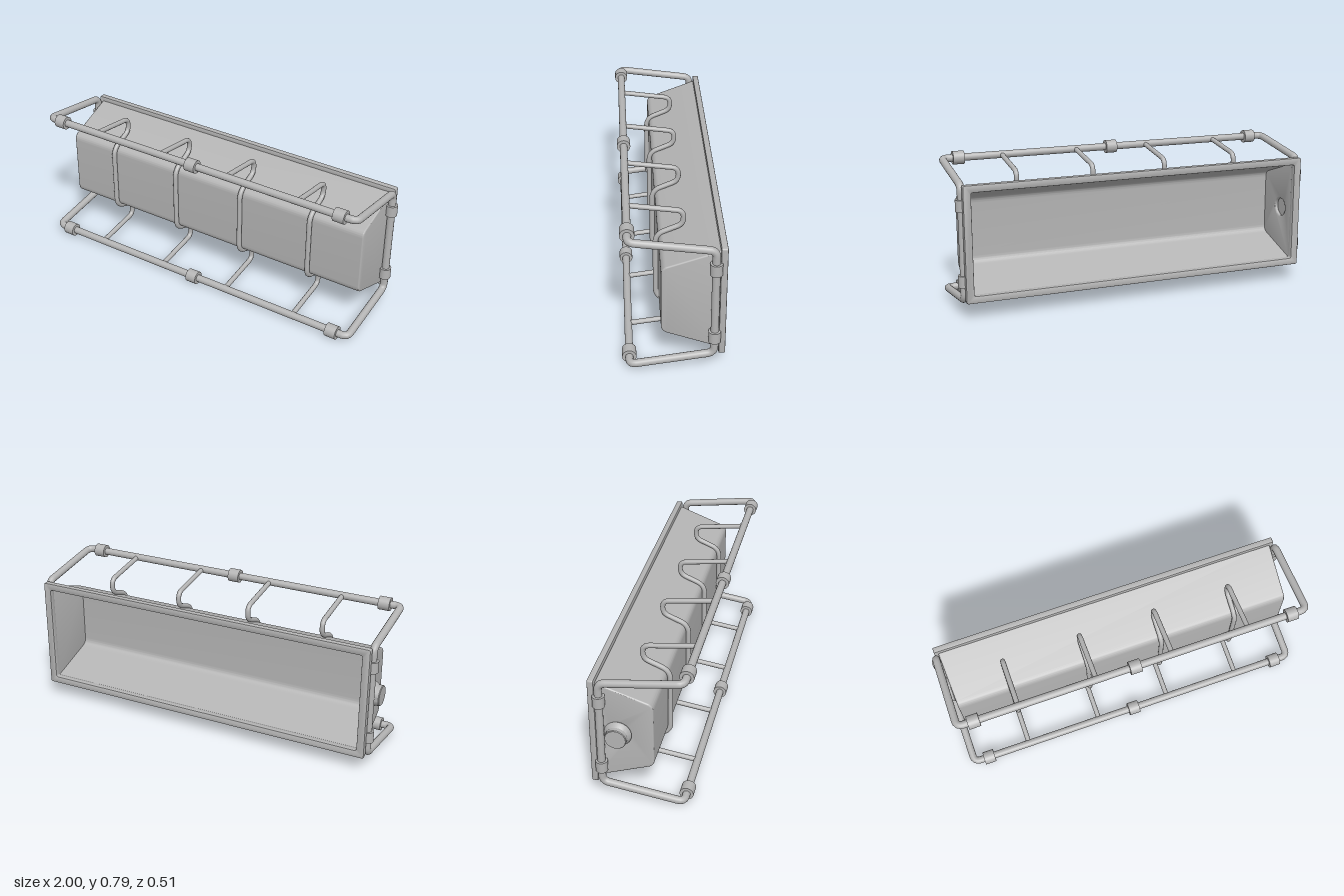
import * as THREE from 'three';
import { toCreasedNormals } from 'three/addons/utils/BufferGeometryUtils.js';

const MID = 0.397; // height of the horizontal symmetry plane
const TUBE = 0.02, BAR_Y = 0.361, BAR_Z = 0.22, POST_X = 0.965, POST_Z = -0.2;

// Polyline with rounded corners; cuts[i] is the length trimmed at each corner
function roundedPath(pts, cuts, closed) {
  const path = new THREE.CurvePath();
  path.arcLengthDivisions = 800;
  const n = pts.length;
  const toward = (a, b, d) => a.clone().add(b.clone().sub(a).setLength(d));
  let prev = closed ? toward(pts[0], pts[1], cuts[0]) : pts[0];
  const start = prev;
  for (let k = 1; k < (closed ? n + 1 : n - 1); k++) {
    const i = k % n, p = pts[i];
    const a = toward(p, pts[(i + n - 1) % n], cuts[i]);
    const b = k === n ? start : toward(p, pts[(i + 1) % n], cuts[i]);
    path.add(new THREE.LineCurve3(prev, a));
    path.add(new THREE.QuadraticBezierCurve3(a, p, b));
    prev = b;
  }
  if (!closed) path.add(new THREE.LineCurve3(prev, pts[n - 1]));
  return path;
}

// Tub cross-section in (z, y), open at the back, rounded at the front corners
function traceTub(shape, inset, reverse) {
  const back = -0.23, front = 0.062 - inset;
  const yb = 0.288 - inset, yf = 0.186 - inset * 0.75;
  const s = reverse ? -1 : 1;
  const zc = front - 0.03, yc = yf + 0.0105;
  shape[reverse ? 'lineTo' : 'moveTo'](back, -yb * s);
  shape.lineTo(zc, -yc * s);
  shape.quadraticCurveTo(front, -yf * s, front, -(yf - 0.032) * s);
  shape.lineTo(front, (yf - 0.032) * s);
  shape.quadraticCurveTo(front, yf * s, zc, yc * s);
  shape.lineTo(back, yb * s);
}

// Extrude a (z, y) outline along x, centred, with the ends tapering to the front
function extrudeAlongX(shape, length, x, bevel) {
  const geo = new THREE.ExtrudeGeometry(shape, {
    depth: length - 2 * bevel, curveSegments: 10, bevelEnabled: bevel > 0,
    bevelThickness: bevel, bevelSize: bevel, bevelOffset: -bevel, bevelSegments: 3,
  });
  geo.translate(0, 0, bevel - length / 2).rotateY(-Math.PI / 2).translate(x, 0, 0);
  const p = geo.attributes.position;
  for (let i = 0; i < p.count; i++) p.setX(i, p.getX(i) * (1 - 0.04 * (p.getZ(i) + 0.23)));
  return toCreasedNormals(geo, 0.6);
}

function roundedRect(target, hw, hh, r) {
  target.moveTo(-hw + r, -hh);
  target.lineTo(hw - r, -hh).quadraticCurveTo(hw, -hh, hw, -hh + r);
  target.lineTo(hw, hh - r).quadraticCurveTo(hw, hh, hw - r, hh);
  target.lineTo(-hw + r, hh).quadraticCurveTo(-hw, hh, -hw, hh - r);
  target.lineTo(-hw, -hh + r).quadraticCurveTo(-hw, -hh, -hw + r, -hh);
  return target;
}

export function createModel() {
  const model = new THREE.Group();
  model.name = 'framedTub';
  const body = new THREE.Group();
  body.name = 'body';
  body.position.y = MID;
  model.add(body);

  const grey = new THREE.MeshStandardMaterial({ color: 0xb4b4b4 });
  grey.name = 'grey';
  const add = (name, geo) => {
    const mesh = new THREE.Mesh(geo, grey);
    mesh.name = name;
    body.add(mesh);
    return mesh;
  };

  // Tub: thin bent shell plus two end plates
  const shell = new THREE.Shape();
  traceTub(shell, 0, false);
  traceTub(shell, 0.012, true);
  shell.closePath();
  add('tubShell', extrudeAlongX(shell, 1.878, 0, 0));
  for (const side of [-1, 1]) {
    const plate = new THREE.Shape();
    traceTub(plate, 0, false);
    plate.closePath();
    if (side < 0) { // opening behind the round fitting
      const hole = new THREE.Path();
      hole.absarc(-0.115, 0, 0.05, 0, Math.PI * 2, true);
      plate.holes.push(hole);
    }
    add(side < 0 ? 'rightEndPlate' : 'leftEndPlate', extrudeAlongX(plate, 0.02, side * 0.937, 0.008));
  }

  // Rim around the open back
  const rim = roundedRect(new THREE.Shape(), 0.967, 0.311, 0.012);
  rim.holes.push(roundedRect(new THREE.Path(), 0.925, 0.272, 0.012));
  const rimGeo = new THREE.ExtrudeGeometry(rim, {
    depth: 0.023, bevelThickness: 0.005, bevelSize: 0.005, bevelOffset: -0.005,
    bevelSegments: 2, curveSegments: 5,
  });
  rimGeo.translate(0, 0, -0.25);
  add('backRim', toCreasedNormals(rimGeo, 0.5));

  // Round fitting on the right end
  const profile = [[0, -0.004], [0.066, -0.004], [0.07, 0.004], [0.066, 0.014], [0.055, 0.03],
    [0.055, 0.052], [0.052, 0.056], [0, 0.056]].map(([r, h]) => new THREE.Vector2(r, h));
  const knob = new THREE.LatheGeometry(profile, 40).toNonIndexed();
  knob.rotateZ(Math.PI / 2).translate(-0.944, 0, -0.115);
  add('endFitting', toCreasedNormals(knob, 0.6));

  // Outer tube frame: one closed loop
  const corner = (x, s) => [[x, s * BAR_Y, BAR_Z], [x, s * 0.302, POST_Z]];
  const loop = [
    ...corner(POST_X, 1), ...corner(POST_X, -1).reverse(),
    ...corner(-POST_X, -1), ...corner(-POST_X, 1).reverse(),
  ].map((p) => new THREE.Vector3(...p));
  const framePath = roundedPath(loop, loop.map(() => 0.035), true);
  add('outerFrame', new THREE.TubeGeometry(framePath, 480, TUBE, 16, true));

  // Ribs hooking from the front bars around the tub
  const half = [[BAR_Y, BAR_Z], [0.322, -0.064], [0.247, -0.064], [0.189, 0.076]];
  const cuts = [0, 0.036, 0.036, 0.05];
  const ribPts = [...half, ...half.map(([y, z]) => [-y, z]).reverse()]
    .map(([y, z]) => new THREE.Vector3(0, y, z));
  const ribPath = roundedPath(ribPts, [...cuts, ...cuts.slice().reverse()], false);
  const ribGeo = new THREE.TubeGeometry(ribPath, 180, 0.0135, 12, false);
  for (const x of [-0.638, -0.212, 0.208, 0.634]) add('rib', ribGeo).position.x = x;

  // Collars on the front bars and rear posts
  const barCollar = new THREE.CylinderGeometry(0.036, 0.036, 0.062, 28).rotateZ(Math.PI / 2);
  const postCollar = new THREE.CylinderGeometry(0.031, 0.031, 0.062, 28);
  for (const s of [-1, 1]) {
    for (const x of [-0.877, 0, 0.877]) add('barCollar', barCollar).position.set(x, s * BAR_Y, BAR_Z);
    for (const x of [-POST_X, POST_X]) add('postCollar', postCollar).position.set(x, s * 0.2, POST_Z);
  }
  return model;
}
